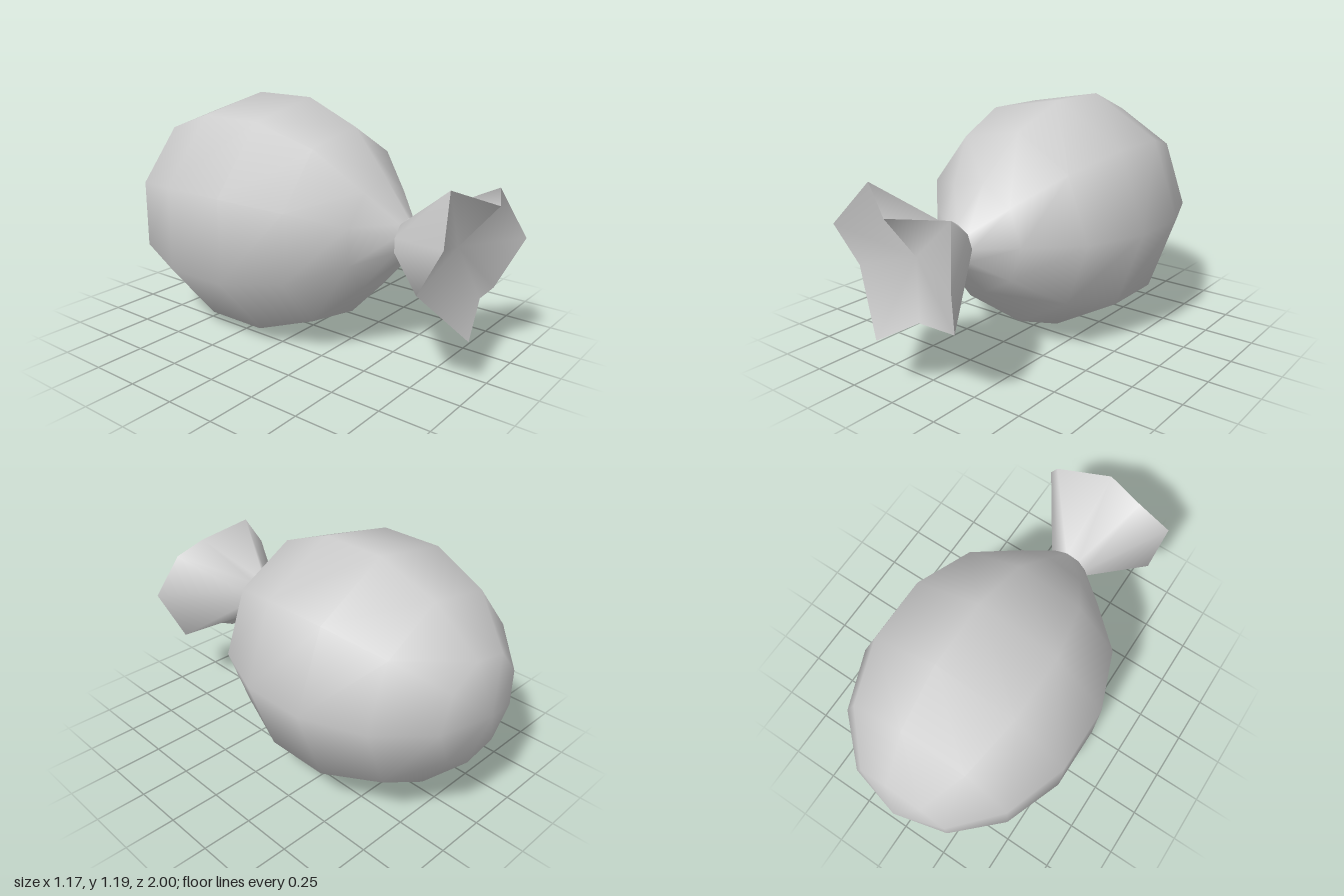
import * as THREE from 'three';

const SIDES = 9;
const CENTRE_X = -0.018, CENTRE_Y = 0.6;

// One ring of corners around the z axis
function ring(radius, z) {
  return Array.from({ length: SIDES }, (_, i) => {
    const a = (i / SIDES) * Math.PI * 2;
    return [CENTRE_X + radius * Math.cos(a), CENTRE_Y + radius * Math.sin(a), z];
  });
}

// Skin a list of rings from back to front; a single-point ring closes an end
function skin(rings, name, material) {
  const points = rings.flat();
  const index = [];
  let start = 0;
  for (let r = 0; r < rings.length - 1; r++) {
    const m = rings[r].length, n = rings[r + 1].length;
    const next = start + m;
    for (let i = 0; i < SIDES; i++) {
      const j = (i + 1) % SIDES;
      const a = start + (i % m), b = start + (j % m);
      const c = next + (j % n), d = next + (i % n);
      if (m > 1) index.push(a, b, d);
      if (n > 1) index.push(b, c, d);
    }
    start = next;
  }
  const geometry = new THREE.BufferGeometry();
  geometry.setAttribute('position', new THREE.Float32BufferAttribute(points.flat(), 3));
  geometry.setIndex(index);
  geometry.computeVertexNormals();
  const mesh = new THREE.Mesh(geometry, material);
  mesh.name = name;
  return mesh;
}

export function createModel() {
  const cloth = new THREE.MeshStandardMaterial({ color: 0xcccccc });
  cloth.name = 'pale grey cloth';

  const group = new THREE.Group();
  group.name = 'tiedSack';

  // Round body, pinched to the neck: [radius, z]
  const profile = [
    [0.268, -0.93], [0.487, -0.72], [0.604, -0.42], [0.604, -0.09],
    [0.487, 0.205], [0.268, 0.415], [0.103, 0.56],
  ];
  const back = [[CENTRE_X, CENTRE_Y, -1]];
  group.add(skin([back, ...profile.map(([r, z]) => ring(r, z))], 'body', cloth));

  // Ragged flared collar in front of the neck
  const rim = [
    [0.36, 0.6, 0.985], [0.27, 0.845, 0.88], [0.015, 0.835, 1.0],
    [-0.21, 0.93, 0.88], [-0.375, 0.73, 0.95], [-0.365, 0.505, 0.83],
    [-0.125, 0.245, 0.96], [0.085, 0.365, 0.9], [0.27, 0.355, 0.88],
  ];
  group.add(skin([ring(0.103, 0.56), rim], 'collar', cloth));

  // Dished opening inside the collar
  group.add(skin([rim, [[0, 0.62, 0.82]]], 'opening', cloth));

  return group;
}
